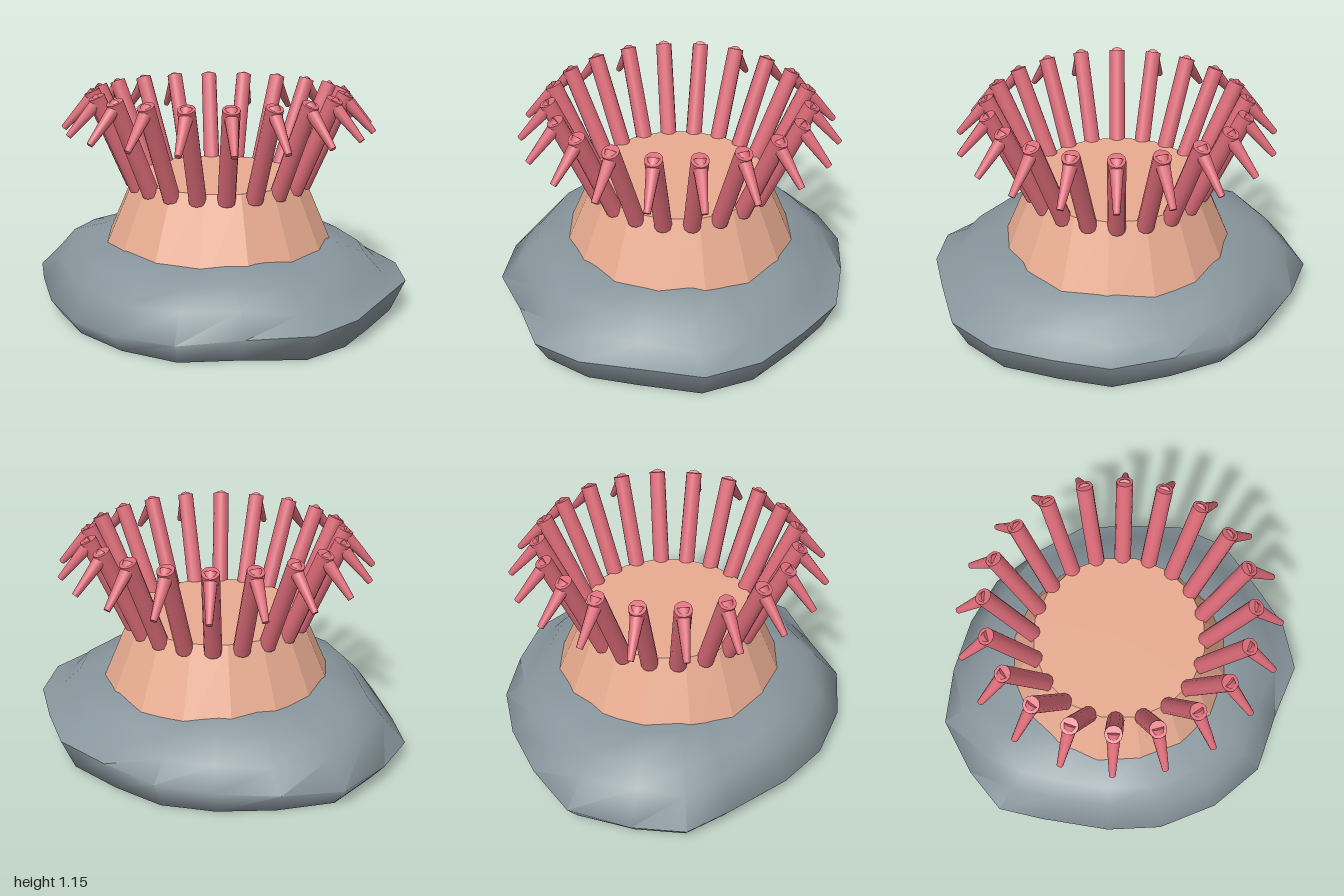
import * as THREE from 'three';
import { mergeVertices, toCreasedNormals } from 'three/addons/utils/BufferGeometryUtils.js';

const rockMat = new THREE.MeshStandardMaterial({ color: 0x87959c });
const bodyMat = new THREE.MeshStandardMaterial({ color: 0xe8ab90, flatShading: true });
const armMat = new THREE.MeshStandardMaterial({ color: 0xdb6b78 });

// Irregular rock outline seen from above, as x, z pairs
const OUTLINE = [
  [0.03, -0.925], [0.35, -0.91], [0.6, -0.76], [0.85, -0.58], [1, -0.33], [1, 0], [0.99, 0.28],
  [0.89, 0.53], [0.62, 0.7], [0.36, 0.89], [0.04, 0.92], [-0.28, 0.85], [-0.53, 0.7],
  [-0.8, 0.45], [-0.97, 0.27], [-1, 0], [-0.97, -0.33], [-0.77, -0.57], [-0.53, -0.77], [-0.27, -0.9],
];

// Rock layers: outline scale, height, amount of height variation
const LAYERS = [
  [0, 0, 0], [0.5, 0, 0], [0.93, 0, 0], [1, 0.13, 0.04], [0.88, 0.22, 0.015],
  [0.79, 0.31, 0.008], [0.6, 0.36, 0.01], [0, 0.39, 0],
];

function rockGeometry() {
  const n = OUTLINE.length;
  const pos = [];
  const index = [];
  LAYERS.forEach(([scale, y, vary], k) => {
    OUTLINE.forEach(([x, z], j) => {
      // the rim sits higher towards the back left; upper layers ripple
      const lift = k === 3 ? THREE.MathUtils.clamp(x - z, -1, 1) : Math.sin(j * 1.9 + k);
      pos.push(x * scale, y + vary * lift, z * scale);
    });
  });
  for (let k = 0; k < LAYERS.length - 1; k++) {
    for (let j = 0; j < n; j++) {
      const a = k * n + j;
      const b = k * n + ((j + 1) % n);
      if (k > 0) index.push(a, a + n, b);
      if (k < LAYERS.length - 2) index.push(b, a + n, b + n);
    }
  }
  const geo = new THREE.BufferGeometry();
  geo.setAttribute('position', new THREE.Float32BufferAttribute(pos, 3));
  geo.setIndex(index);
  // the first fan closes the underside
  for (let j = 0; j < n; j++) index.push(j, n + j, n + ((j + 1) % n));
  geo.setIndex(index);
  return toCreasedNormals(mergeVertices(geo), 1.4);
}

// Tapered rod between two points
function rod(name, from, to, r0, r1, sides) {
  const dir = new THREE.Vector3().subVectors(to, from);
  const geo = new THREE.CylinderGeometry(r1, r0, dir.length(), sides);
  const mesh = new THREE.Mesh(geo, armMat);
  mesh.name = name;
  mesh.position.addVectors(from, to).multiplyScalar(0.5);
  mesh.quaternion.setFromUnitVectors(new THREE.Vector3(0, 1, 0), dir.normalize());
  return mesh;
}

// One tentacle leaning outwards along +z, with a drooping tip
function tentacle() {
  const group = new THREE.Group();
  group.name = 'tentacle';
  const p = (r, y) => new THREE.Vector3(0, y, r);
  group.add(rod('tentacleStem', p(0.45, 0.645), p(0.66, 1.135), 0.045, 0.043, 12));
  group.add(rod('tentacleTip', p(0.64, 1.125), p(0.81, 0.945), 0.037, 0.016, 10));
  return group;
}

export function createModel() {
  const model = new THREE.Group();
  model.name = 'anemoneOnRock';

  const rock = new THREE.Mesh(rockGeometry(), rockMat);
  rock.name = 'rock';
  model.add(rock);

  const anemone = new THREE.Group();
  anemone.name = 'anemone';
  anemone.position.set(0.035, 0, -0.035);
  model.add(anemone);

  // Tapered body, its foot sunk into the rock
  const body = new THREE.Mesh(new THREE.CylinderGeometry(0.457, 0.665, 0.48, 16), bodyMat);
  body.name = 'body';
  body.position.y = 0.445;
  anemone.add(body);

  // Ring of tentacles around the rim
  const count = 20;
  for (let i = 0; i < count; i++) {
    const arm = tentacle();
    arm.rotation.y = (i / count) * Math.PI * 2;
    anemone.add(arm);
  }
  return model;
}
